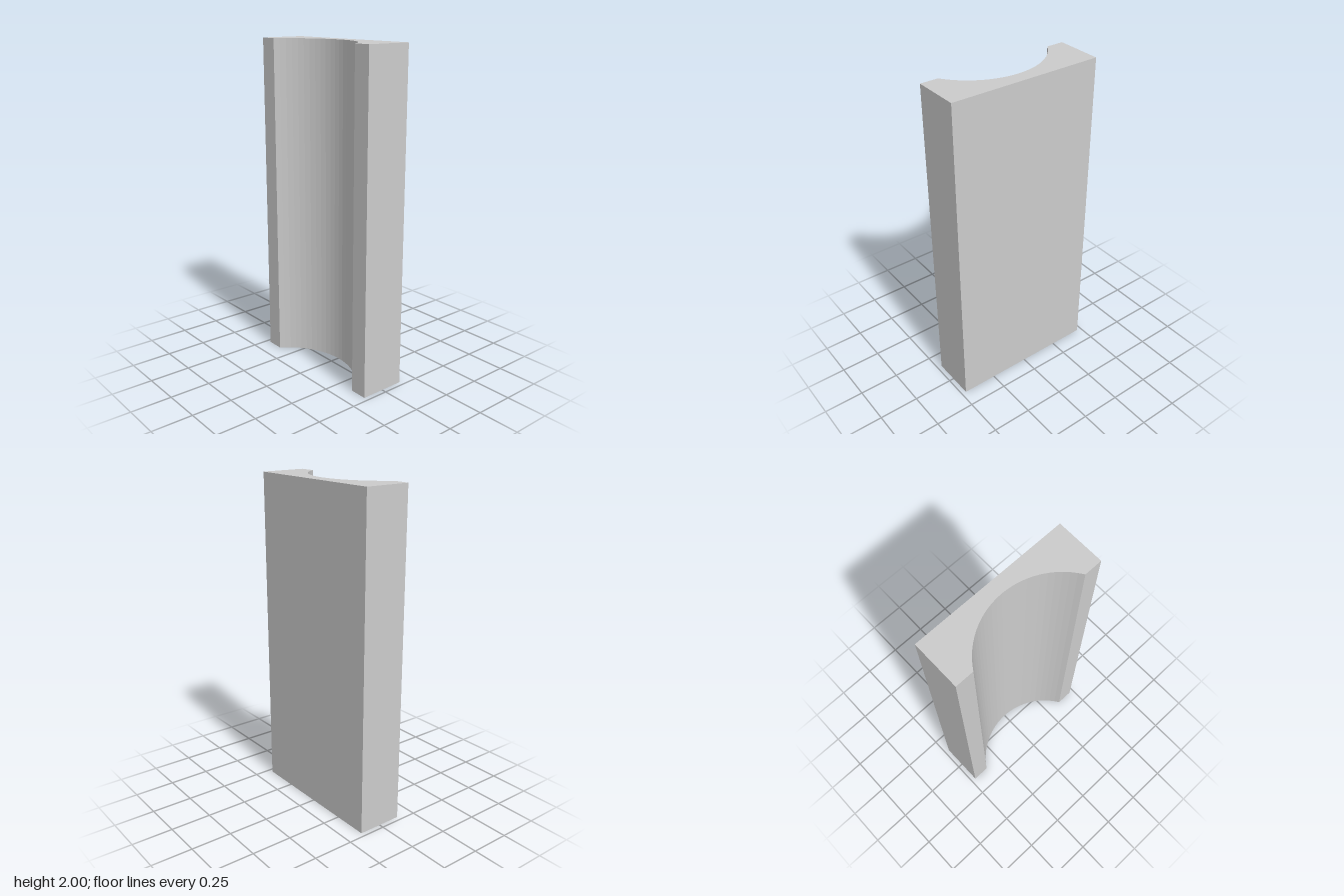
import * as THREE from 'three';

export function createModel() {
  const group = new THREE.Group();
  const height = 2, halfWidth = 0.47, halfDepth = 0.142;

  // Circular channel, from half its mouth width and its depth
  const mouth = 0.362, depth = 0.2;
  const radius = (mouth * mouth + depth * depth) / (2 * depth);
  const centre = -halfDepth + depth - radius;
  const angle = Math.atan2(-halfDepth - centre, mouth);

  // Plan section: shape y becomes -z after the rotation
  const section = new THREE.Shape();
  section.moveTo(-halfWidth, -halfDepth);
  section.lineTo(-mouth, -halfDepth);
  section.absarc(0, centre, radius, Math.PI - angle, angle, true);
  section.lineTo(halfWidth, -halfDepth);
  section.lineTo(halfWidth, halfDepth);
  section.lineTo(-halfWidth, halfDepth);
  section.closePath();

  // Upright block with the channel along its front
  const geometry = new THREE.ExtrudeGeometry(section, {
    depth: height, bevelEnabled: false, curveSegments: 12,
  });
  geometry.rotateX(-Math.PI / 2);
  const block = new THREE.Mesh(geometry, new THREE.MeshStandardMaterial({ color: 0xcccccc }));
  block.name = 'channelBlock';
  group.add(block);
  return group;
}
